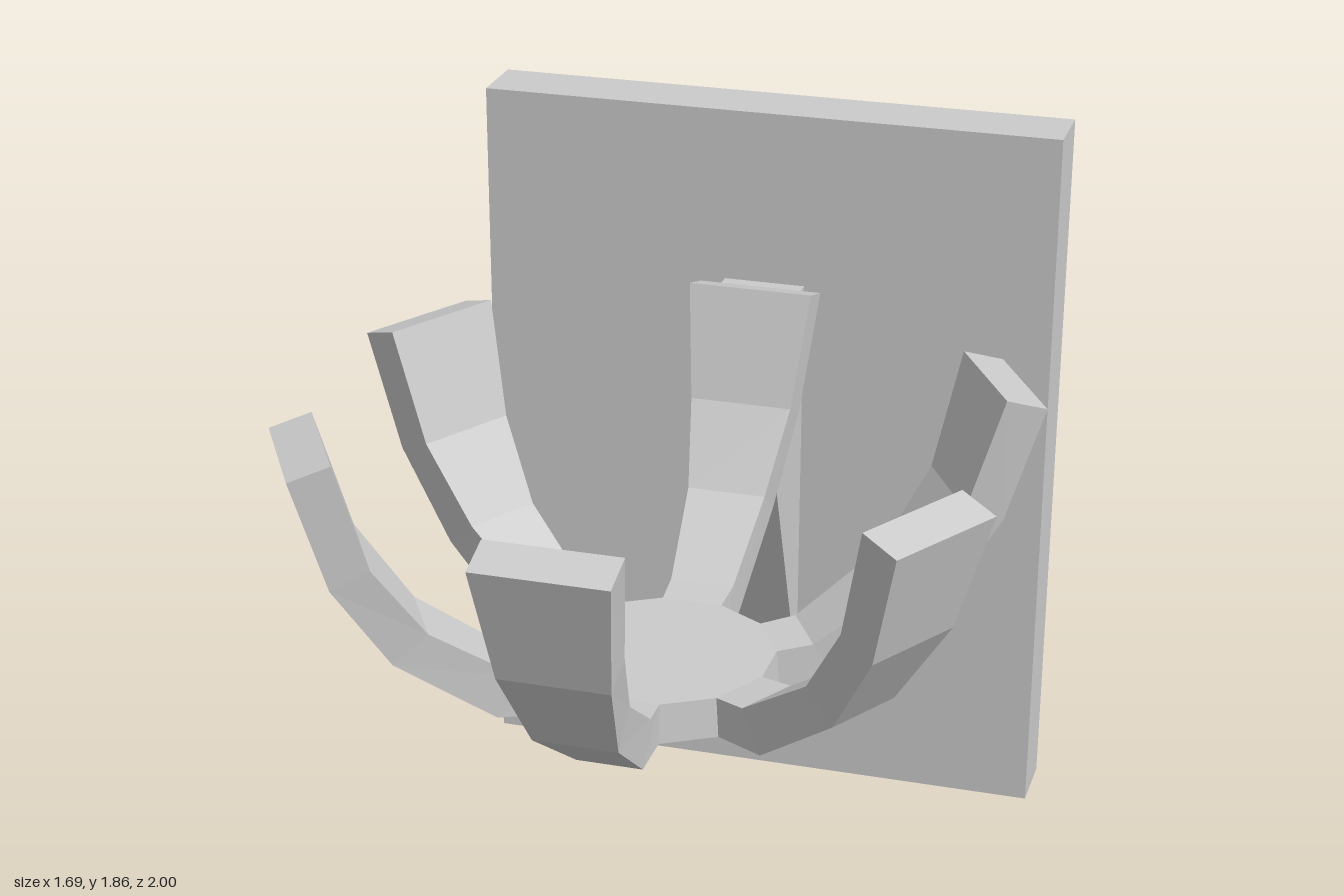
import * as THREE from 'three';

const HUB_Z = 0.115;

// Curved arm sections, from hub to tip: inner [r, y], outer [r, y], half width
const SECTIONS = [
  { inner: [0.265, 0.82], outer: [0.27, 0.72], w: 0.075 },
  { inner: [0.355, 0.83], outer: [0.415, 0.73], w: 0.08 },
  { inner: [0.575, 0.98], outer: [0.66, 0.91], w: 0.1 },
  { inner: [0.705, 1.17], outer: [0.8, 1.13], w: 0.13 },
  { inner: [0.785, 1.45], outer: [0.885, 1.42], w: 0.158 },
];

// Bend a segmented box through the sections
function armGeometry() {
  const n = SECTIONS.length - 1;
  const geo = new THREE.BoxGeometry(1, 1, 1, 1, 1, n);
  const p = geo.attributes.position;
  for (let i = 0; i < p.count; i++) {
    const s = SECTIONS[Math.round((p.getZ(i) + 0.5) * n)];
    const [r, y] = p.getY(i) > 0 ? s.inner : s.outer;
    p.setXYZ(i, Math.sign(p.getX(i)) * s.w, y, r);
  }
  geo.computeVertexNormals();
  return geo;
}

export function createModel() {
  const model = new THREE.Group();
  model.name = 'wallMountedClawHolder';
  const grey = new THREE.MeshStandardMaterial({ color: 0xcccccc, flatShading: true });
  const thin = new THREE.MeshStandardMaterial({ color: 0xcccccc, flatShading: true, side: THREE.DoubleSide });
  const add = (parent, name, geo, mat = grey) => {
    const mesh = new THREE.Mesh(geo, mat);
    mesh.name = name;
    parent.add(mesh);
    return mesh;
  };

  // Wall plate: a shallow shell, open at the back (last face of the box dropped)
  const plate = new THREE.BoxGeometry(1.495, 1.86, 0.17);
  plate.setIndex(Array.from(plate.index.array).slice(0, 30));
  plate.clearGroups();
  add(model, 'wallPlate', plate, thin).position.set(-0.0025, 0.93, -0.915);

  // Bracket: its side profile follows the outside of the rear arm
  const profile = [[-0.83, 0.45], [-0.77, 0.45], [-0.57, 0.97], [-0.685, 1.13], [-0.765, 1.41], [-0.83, 1.41]];
  const shape = new THREE.Shape(profile.map(([z, y]) => new THREE.Vector2(z, y)));
  const bracket = new THREE.ExtrudeGeometry(shape, { depth: 0.21, bevelEnabled: false });
  bracket.rotateY(-Math.PI / 2);
  add(model, 'bracket', bracket).position.x = 0.1;

  // Claw: twelve-sided hub with six arms
  const claw = new THREE.Group();
  claw.name = 'claw';
  claw.position.z = HUB_Z;
  model.add(claw);
  const hub = new THREE.CylinderGeometry(0.277, 0.284, 0.1, 12, 1, false, Math.PI / 12);
  add(claw, 'hub', hub).position.y = 0.77;
  const arm = armGeometry();
  for (let i = 0; i < 6; i++) {
    add(claw, 'arm' + (i + 1), arm).rotation.y = (i * Math.PI) / 3;
  }
  return model;
}
